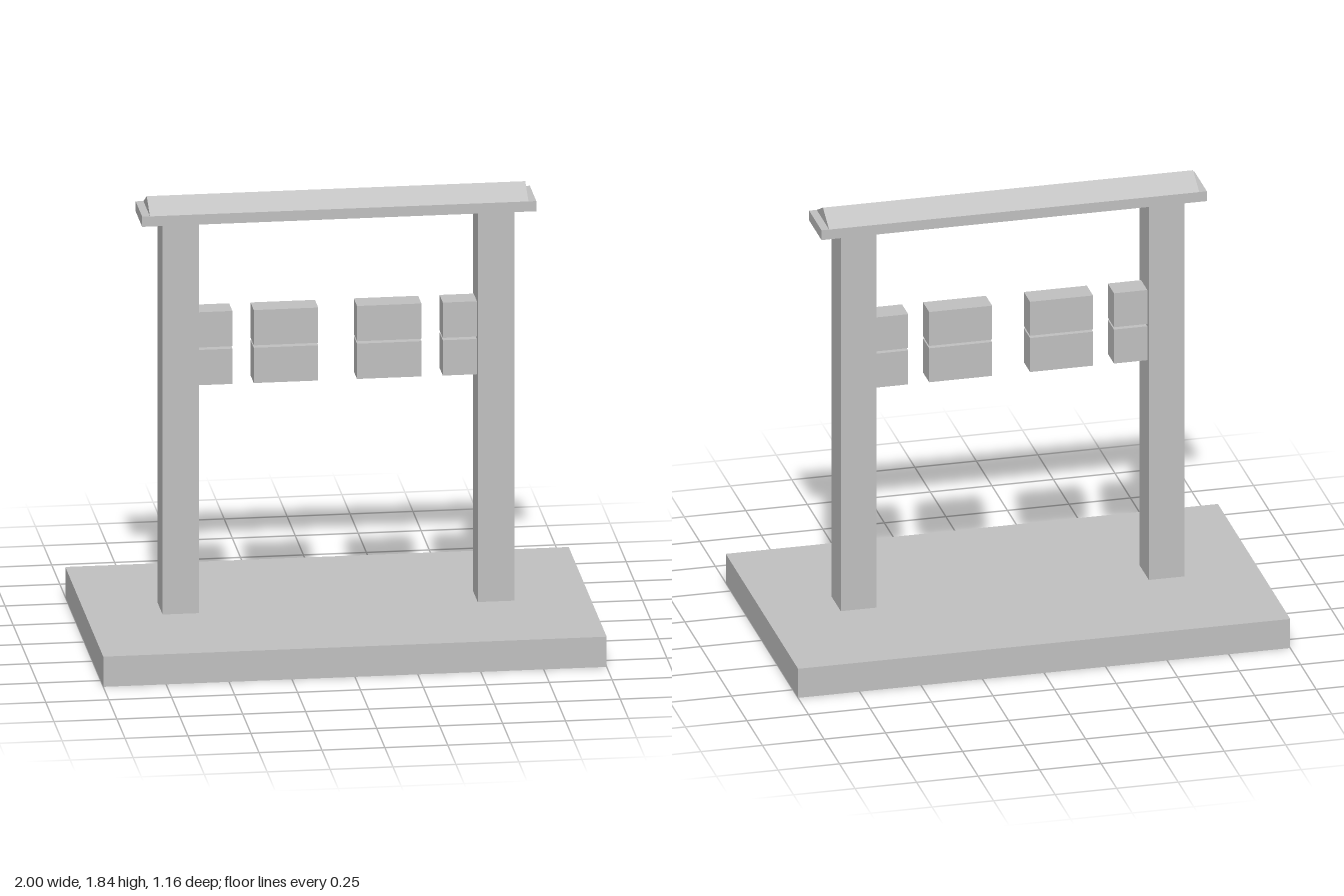
import * as THREE from 'three';

export function createModel() {
  const model = new THREE.Group();
  model.name = 'gateway';
  const grey = new THREE.MeshStandardMaterial({ color: 0xc0c0c0 });
  grey.name = 'plain grey';

  // Box given by its size, bottom height and x position
  const box = (name, w, h, d, bottom, x = 0) => {
    const mesh = new THREE.Mesh(new THREE.BoxGeometry(w, h, d), grey);
    mesh.name = name;
    mesh.position.set(x, bottom + h / 2, 0);
    model.add(mesh);
  };

  // Ground slab and top beam
  box('base', 2, 0.125, 1.164, 0);
  box('topBeam', 1.566, 0.042, 0.2, 1.741);

  for (const [side, s] of [['left', 1], ['right', -1]]) {
    // Upright post
    box(`${side}Post`, 0.145, 1.616, 0.15, 0.125, s * 0.626);
    // Paired hanging blocks; the outer ones are let into the post
    for (const [place, x] of [['Inner', 0.205], ['Outer', 0.546]]) {
      box(`${side}${place}UpperBlock`, 0.256, 0.146, 0.1, 1.216, s * x);
      box(`${side}${place}LowerBlock`, 0.256, 0.146, 0.1, 1.06, s * x);
    }
  }

  // Gabled cap along the beam
  const gable = new THREE.Shape([
    new THREE.Vector2(-0.1, 0),
    new THREE.Vector2(0.1, 0),
    new THREE.Vector2(0, 0.052),
  ]);
  const capGeometry = new THREE.ExtrudeGeometry(gable, { depth: 1.504, bevelEnabled: false });
  capGeometry.translate(0, 0, -0.752).rotateY(Math.PI / 2);
  const cap = new THREE.Mesh(capGeometry, grey);
  cap.name = 'roofCap';
  cap.position.y = 1.783;
  model.add(cap);

  return model;
}
